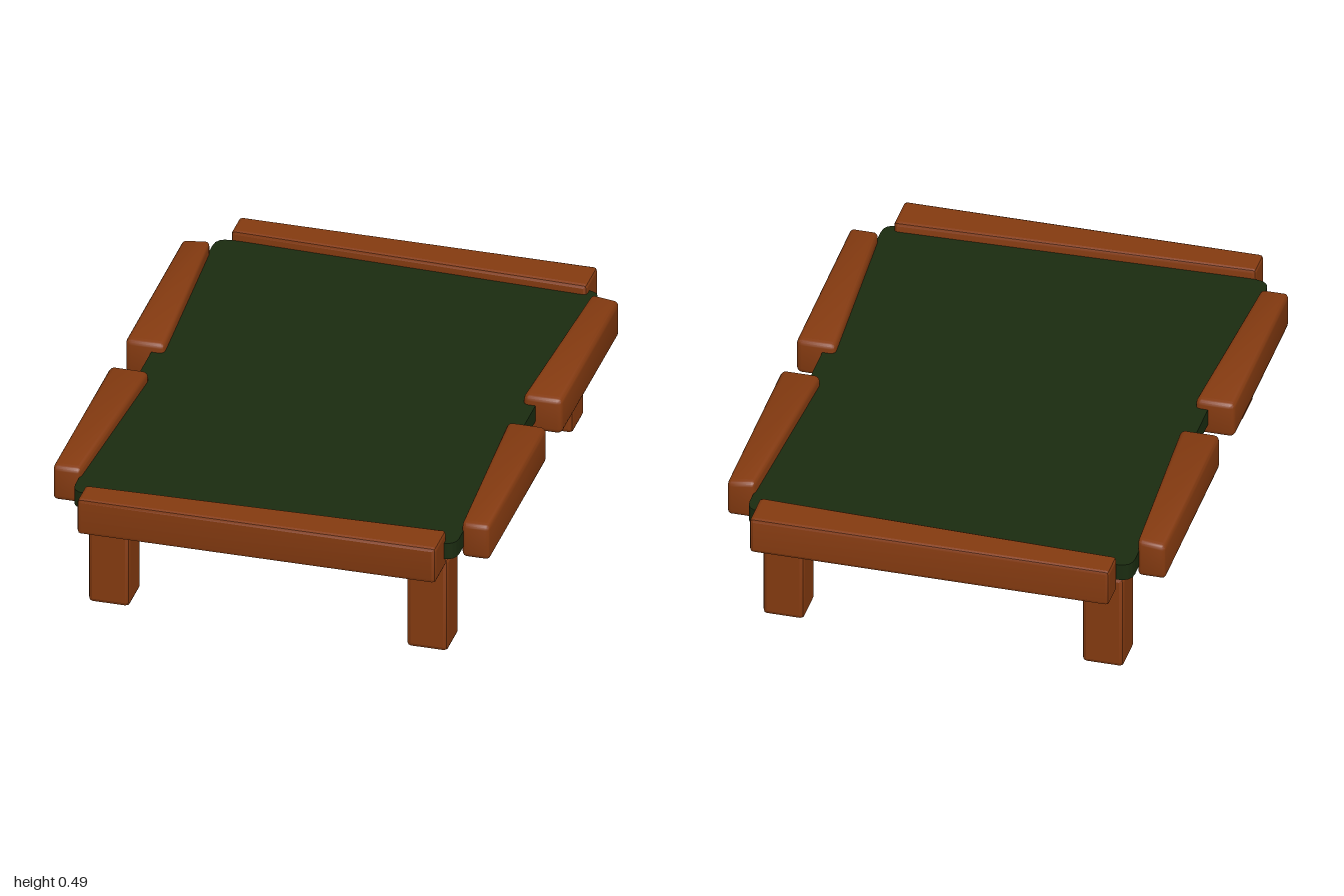
import * as THREE from 'three';
import { RoundedBoxGeometry } from 'three/addons/geometries/RoundedBoxGeometry.js';
import { mergeVertices, toCreasedNormals } from 'three/addons/utils/BufferGeometryUtils.js';

const wood = new THREE.MeshStandardMaterial({ color: 0x843a10 });
const felt = new THREE.MeshStandardMaterial({ color: 0x1a2b10 });

// Bevelled box spanning min..max, optionally reshaped by a rule on each vertex
function bevelBox(name, min, max, radius, segments, crease, rule) {
  const size = max.map((v, i) => v - min[i]);
  let geo = new RoundedBoxGeometry(...size, segments, radius);
  geo.translate(...min.map((v, i) => (v + max[i]) / 2));
  if (rule) {
    const pos = geo.attributes.position, v = new THREE.Vector3();
    for (let i = 0; i < pos.count; i++) {
      rule(v.fromBufferAttribute(pos, i));
      pos.setXYZ(i, v.x, v.y, v.z);
    }
  }
  geo.deleteAttribute('normal');
  geo.deleteAttribute('uv');
  geo = toCreasedNormals(mergeVertices(geo, 1e-5), crease);
  const mesh = new THREE.Mesh(geo, wood);
  mesh.name = name;
  return mesh;
}

// Playing surface with rounded corners
function makeBed() {
  const w = 0.67, d = 0.895, r = 0.05;
  const s = new THREE.Shape();
  s.moveTo(-w + r, -d);
  s.lineTo(w - r, -d);
  s.quadraticCurveTo(w, -d, w, -d + r);
  s.lineTo(w, d - r);
  s.quadraticCurveTo(w, d, w - r, d);
  s.lineTo(-w + r, d);
  s.quadraticCurveTo(-w, d, -w, d - r);
  s.lineTo(-w, -d + r);
  s.quadraticCurveTo(-w, -d, -w + r, -d);
  const geo = new THREE.ExtrudeGeometry(s, { depth: 0.06, bevelEnabled: false, curveSegments: 4 });
  geo.rotateX(-Math.PI / 2).translate(0, 0.39, 0);
  const mesh = new THREE.Mesh(geo, felt);
  mesh.name = 'feltBed';
  return mesh;
}

export function createModel() {
  const table = new THREE.Group();
  table.name = 'poolTable';
  table.add(makeBed());

  for (const sz of [1, -1]) {
    const end = sz > 0 ? 'front' : 'back';

    // End rail, its inner face slanting towards the right-hand corner
    const [z0, z1] = sz > 0 ? [0.86, 1] : [-1, -0.86];
    table.add(bevelBox(end + 'Rail', [-0.62, 0.35, z0], [0.63, 0.485, z1], 0.013, 1, 0.3, v => {
      const inner = (1 - Math.abs(v.z)) / 0.14;
      v.z += sz * 0.036 * inner * (0.63 - v.x) / 1.25;
    }));

    for (const sx of [1, -1]) {
      const side = sx > 0 ? 'Left' : 'Right';

      // Leg
      const cx = sx * 0.555, cz = sz * 0.77;
      table.add(bevelBox(end + side + 'Leg', [cx - 0.072, 0, cz - 0.07], [cx + 0.072, 0.355, cz + 0.07], 0.015, 1, 0.3));

      // Side rail, widest next to the middle pocket and narrowing to the corner
      const [x0, x1] = sx > 0 ? [0.625, 0.762] : [-0.762, -0.625];
      const [a, b] = sz > 0 ? [0.09, 0.8] : [-0.8, -0.09];
      table.add(bevelBox(end + side + 'SideRail', [x0, 0.35, a], [x1, 0.485, b], 0.02, 2, 0.6, v => {
        const inner = (0.762 - Math.abs(v.x)) / 0.137;
        const t = (Math.abs(v.z) - 0.09) / 0.71;
        v.x += sx * 0.04 * inner * t;
        // Far rails lift slightly along the inner top edge
        if (sz < 0 && v.y > 0.42) v.y += 0.012 * inner * t;
      }));
    }
  }
  return table;
}
